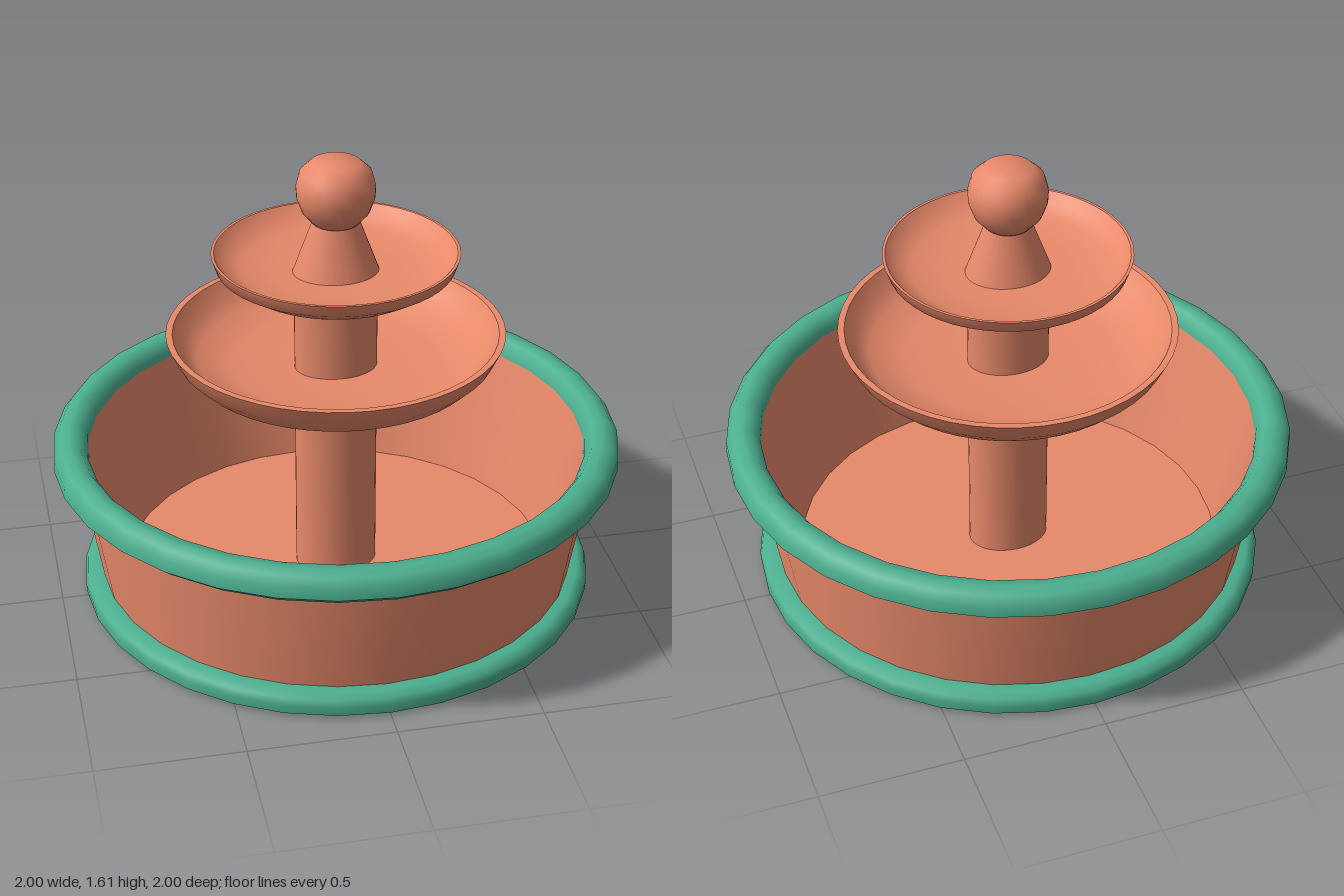
import * as THREE from 'three';
import { toCreasedNormals } from 'three/addons/utils/BufferGeometryUtils.js';

const clay = new THREE.MeshStandardMaterial({ color: 0xe8896a });
const teal = new THREE.MeshStandardMaterial({ color: 0x4caf90 });

export function createModel() {
  const model = new THREE.Group();

  // Turned part: profile of [radius, height], outside first, from bottom to top
  function turn(name, profile, material = clay, segments = 32, depth = 1) {
    const points = profile.map(([r, y]) => new THREE.Vector2(r, y));
    const lathe = new THREE.LatheGeometry(points, segments);
    lathe.scale(1, 1, depth);
    const mesh = new THREE.Mesh(toCreasedNormals(lathe, 0.85), material);
    mesh.name = name;
    model.add(mesh);
    return mesh;
  }

  // Basin: flared wall, hollow inside, low floor
  turn('basin', [
    [0, 0.005], [0.84, 0.005], [0.845, 0.08], [0.91, 0.48], [0.91, 0.56],
    [0.88, 0.56], [0.76, 0.05], [0, 0.05],
  ]);

  // Rounded bands at the foot and the lip of the basin
  turn('footRing', [
    [0.835, 0.01], [0.845, 0], [0.885, 0], [0.91, 0.012], [0.913, 0.045],
    [0.905, 0.07], [0.88, 0.083], [0.84, 0.083], [0.835, 0.01],
  ], teal);
  turn('basinRim', [
    [0.87, 0.49], [0.88, 0.47], [0.91, 0.47], [0.965, 0.5], [1, 0.53], [0.998, 0.57],
    [0.975, 0.6], [0.94, 0.61], [0.905, 0.605], [0.88, 0.57], [0.87, 0.49],
  ], teal);

  // Oval columns between the tiers
  const oval = 0.76;
  turn('lowerColumn', [[0, 0.04], [0.145, 0.04], [0.145, 0.83], [0, 0.83]], clay, 32, oval);
  turn('upperColumn', [[0, 0.82], [0.145, 0.82], [0.145, 1.195], [0, 1.195]], clay, 32, oval);

  // Two stacked bowls
  turn('lowerBowl', [
    [0, 0.795], [0.2, 0.8], [0.37, 0.815], [0.51, 0.865], [0.555, 0.91], [0.588, 0.98],
    [0.565, 0.98], [0.53, 0.925], [0.48, 0.885], [0.36, 0.855], [0.2, 0.845], [0, 0.84],
  ], clay, 48);
  turn('upperBowl', [
    [0, 1.175], [0.25, 1.178], [0.34, 1.19], [0.41, 1.235], [0.425, 1.28],
    [0.415, 1.28], [0.385, 1.245], [0.33, 1.222], [0.22, 1.21], [0, 1.205],
  ], clay, 48);

  // Tapered neck and ball on top
  turn('finialNeck', [[0, 1.2], [0.152, 1.2], [0.078, 1.4], [0, 1.4]], clay, 32, 0.82);
  turn('finialBall', [
    [0, 1.385], [0.08, 1.39], [0.115, 1.43], [0.133, 1.48], [0.135, 1.52],
    [0.122, 1.57], [0.085, 1.605], [0, 1.61],
  ], clay, 32);

  return model;
}
